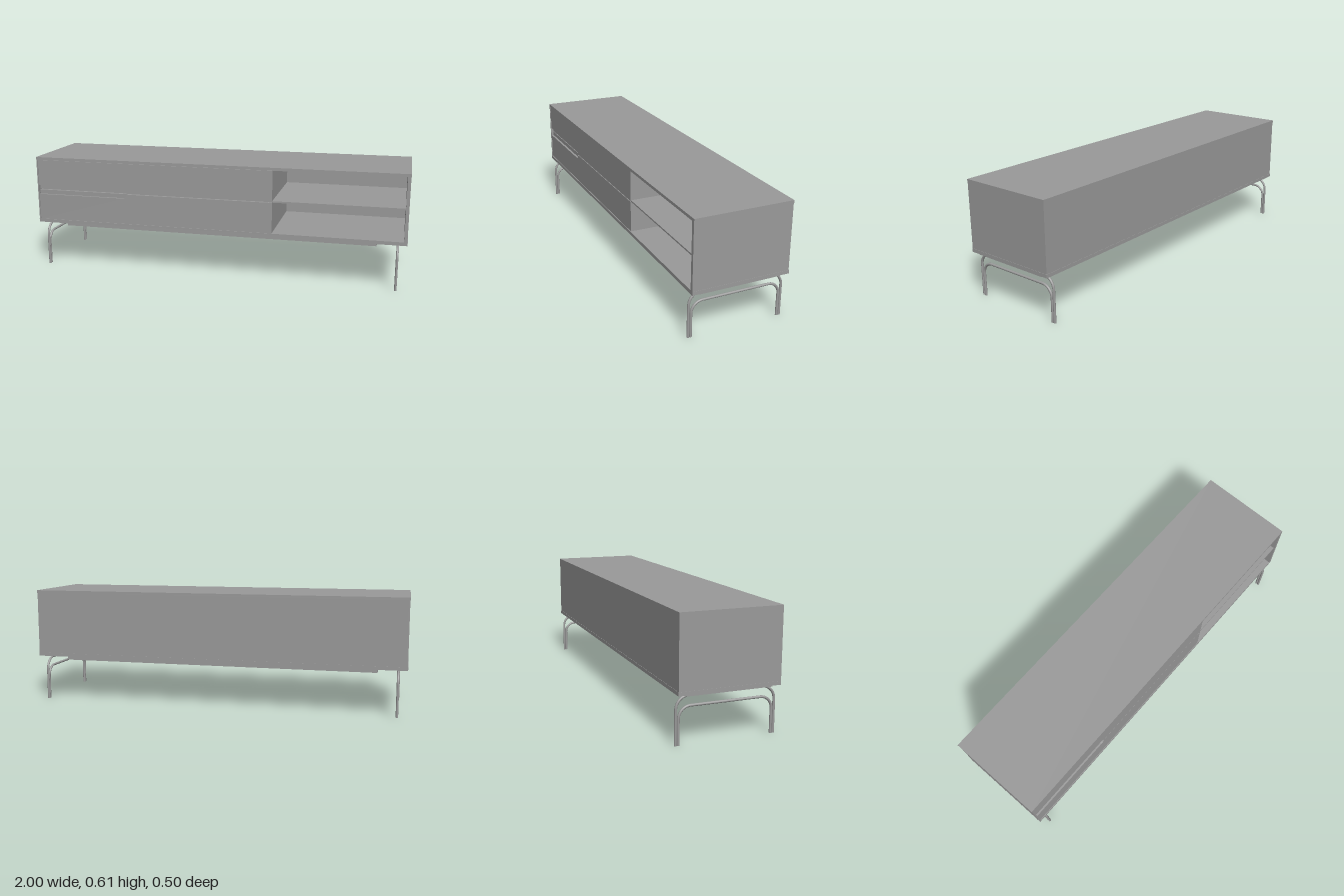
import * as THREE from 'three';

const grey = new THREE.MeshStandardMaterial({ color: 0x9a9a9a });

export function createModel() {
  const model = new THREE.Group();

  const add = (name, geometry, parent = model) => {
    const mesh = new THREE.Mesh(geometry, grey);
    mesh.name = name;
    parent.add(mesh);
    return mesh;
  };
  // Box given by its limits on each axis
  const box = (name, [x0, x1], [y0, y1], [z0, z1], parent) =>
    add(name, new THREE.BoxGeometry(x1 - x0, y1 - y0, z1 - z0), parent)
      .position.set((x0 + x1) / 2, (y0 + y1) / 2, (z0 + z1) / 2);

  // Cabinet carcass: the walls sit a hair inside the top and bottom panels
  const low = 0.258, high = 0.59, front = 0.25, back = -0.25, inset = 0.0015;
  box('topPanel', [-1, 1], [high, 0.605], [back, front]);
  box('bottomPanel', [-1, 1], [0.24, low], [back, front]);
  box('rightSidePanel', [-1 + inset, -0.992], [low, high], [back + inset, front]);
  box('leftSidePanel', [0.982, 1 - inset], [low, high], [back + inset, front]);
  box('backPanel', [-0.992, 0.982], [low, high], [back + inset, back + 0.012]);
  box('divider', [0.295, 0.313], [low, high], [back + 0.012, 0.234]);
  box('shelf', [0.313, 0.982], [0.422, 0.43], [back + 0.012, 0.244]);
  box('plinth', [-0.85, 0.848], [0.217, 0.24], [-0.21, 0.21]);

  // Drawer fronts, each with half of the rounded finger recess cut from its meeting edge
  const x0 = -0.992, x1 = 0.313, split = 0.423, gap = 0.002;
  const slotEnd = -0.48, slotR = 0.025;
  for (const [name, dir, edge] of [['upperDrawer', 1, high - 0.002], ['lowerDrawer', -1, low]]) {
    const drawer = new THREE.Group();
    drawer.name = name;
    model.add(drawer);
    const inner = split + dir * gap;
    const shape = new THREE.Shape();
    shape.moveTo(x0, edge);
    shape.lineTo(x1, edge);
    shape.lineTo(x1, inner);
    shape.lineTo(slotEnd, inner);
    for (let i = 1; i <= 10; i++) {
      const a = (i / 10) * Math.PI / 2;
      shape.lineTo(slotEnd - slotR + slotR * Math.cos(a), inner + dir * (slotR - gap) * Math.sin(a));
    }
    shape.lineTo(x0, split + dir * slotR);
    const face = add(name + 'Front', new THREE.ExtrudeGeometry(shape, { depth: 0.012, bevelEnabled: false }), drawer);
    face.position.z = 0.234;
    const ys = [edge, inner].sort((a, b) => a - b);
    box(name + 'Body', [x0, 0.293], ys, [-0.23, 0.234], drawer);
  }

  // Bent tube frame: an upright, a rounded corner, a rail and the mirror of these
  const tubeFrame = (half, top, bend) => {
    const v = (y, z) => new THREE.Vector3(0, y, z);
    const path = new THREE.CurvePath();
    const k = bend * 0.448;
    path.add(new THREE.LineCurve3(v(0, half), v(top - bend, half)));
    path.add(new THREE.CubicBezierCurve3(v(top - bend, half), v(top - k, half), v(top, half - k), v(top, half - bend)));
    path.add(new THREE.LineCurve3(v(top, half - bend), v(top, bend - half)));
    path.add(new THREE.CubicBezierCurve3(v(top, bend - half), v(top, k - half), v(top - k, -half), v(top - bend, -half)));
    path.add(new THREE.LineCurve3(v(top - bend, -half), v(0, -half)));
    return new THREE.TubeGeometry(path, 120, 0.0064, 16, false);
  };

  // Two nested frames and a mounting plate under each end
  for (const side of [-1, 1]) {
    const leg = new THREE.Group();
    leg.name = side > 0 ? 'leftLeg' : 'rightLeg';
    leg.position.x = side * 0.953;
    model.add(leg);
    add('outerTube', tubeFrame(0.243, 0.2275, 0.063), leg);
    add('innerTube', tubeFrame(0.23, 0.179, 0.058), leg);
    box('mountingPlate', [-0.04, 0.04], [0.2335, 0.24], [-0.21, 0.21], leg);
    // Closed feet
    for (const z of [-0.243, -0.23, 0.23, 0.243]) {
      const cap = add('footCap', new THREE.CircleGeometry(0.0064, 16), leg);
      cap.rotation.x = Math.PI / 2;
      cap.position.z = z;
    }
  }
  return model;
}
